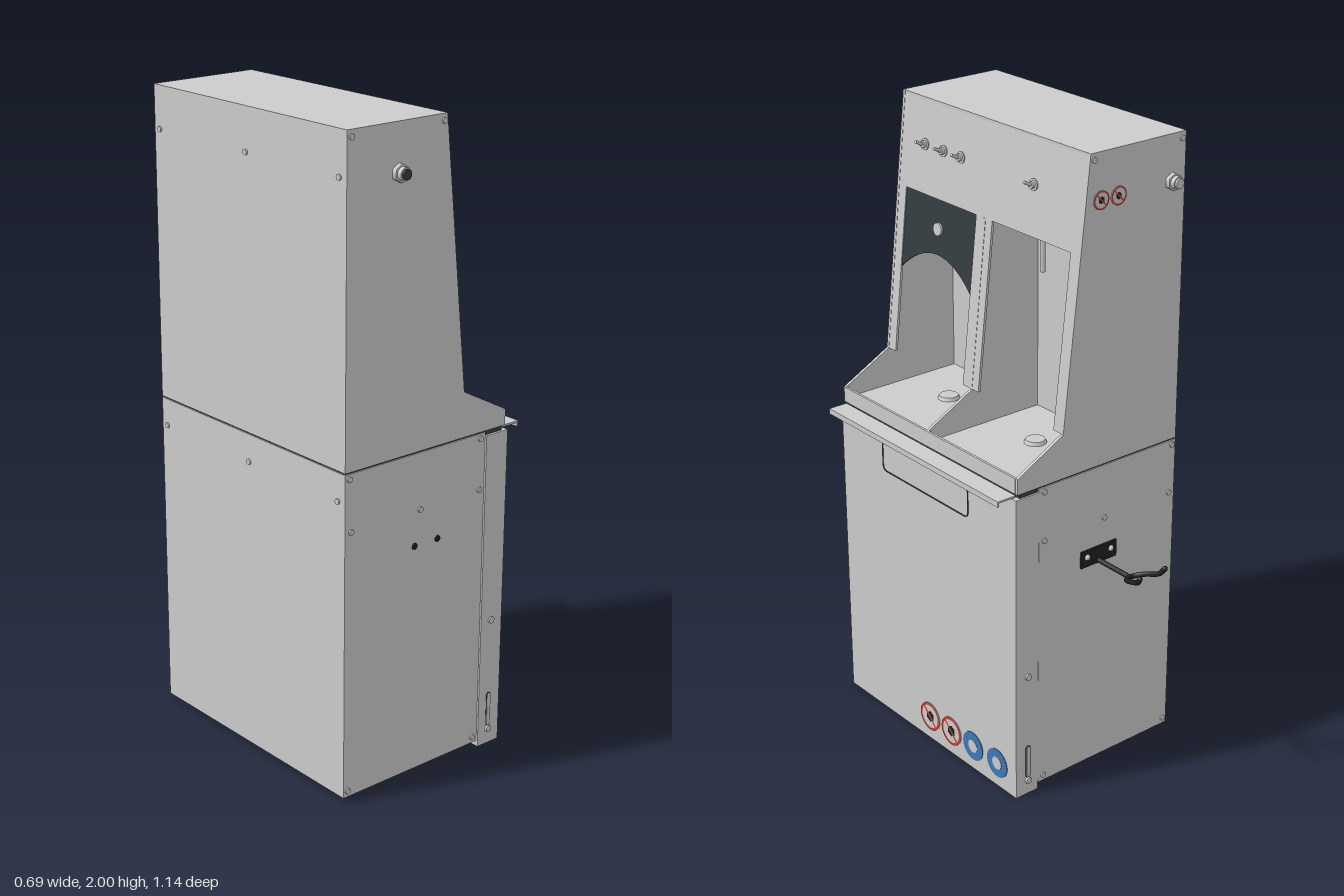
import * as THREE from 'three';

const paint = (color, side = THREE.FrontSide) => new THREE.MeshStandardMaterial({ color, side });
const grey = paint(0xcccccc), dark = paint(0x343c3f), black = paint(0x1c2022);
const red = paint(0xc8402f), blue = paint(0x3f78b5), white = paint(0xe4e4e4);

const Z0 = -0.325, Z1 = 0.535, ZM = 0.105;   // cabinet right side, left side, divider
const TILT = Math.atan2(0.09, 0.82);         // lean of the upper front

export function createModel() {
  const root = new THREE.Group();

  const add = (name, geo, mat, pos = [0, 0, 0], parent = root) => {
    const m = new THREE.Mesh(geo, mat);
    m.name = name;
    m.position.set(...pos);
    parent.add(m);
    return m;
  };
  // Box given by its limits on each axis
  const box = (name, x0, x1, y0, y1, z0, z1, mat = grey) =>
    add(name, new THREE.BoxGeometry(x1 - x0, y1 - y0, z1 - z0), mat,
      [(x0 + x1) / 2, (y0 + y1) / 2, (z0 + z1) / 2]);
  const outline = pts => new THREE.Shape(pts.map(p => new THREE.Vector2(...p)));
  const extrude = (shape, depth) =>
    new THREE.ExtrudeGeometry(shape, { depth, bevelEnabled: false, curveSegments: 20 });
  const group = (name, x, y, z) => {
    const g = new THREE.Group();
    g.name = name;
    g.position.set(x, y, z);
    root.add(g);
    return g;
  };
  // Round part whose axis runs along local z, starting at the given depth
  const round = (name, r, len, mat, pos, parent, sides = 20) =>
    add(name, new THREE.CylinderGeometry(r, r, len, sides).rotateX(Math.PI / 2), mat,
      [pos[0], pos[1], pos[2] + len / 2], parent);
  const slab = (x, y, w, h, r) => {
    const s = new THREE.Shape();
    s.moveTo(x + r, y);
    s.lineTo(x + w - r, y).absarc(x + w - r, y + r, r, -Math.PI / 2, 0);
    s.lineTo(x + w, y + h - r).absarc(x + w - r, y + h - r, r, 0, Math.PI / 2);
    s.lineTo(x + r, y + h).absarc(x + r, y + h - r, r, Math.PI / 2, Math.PI);
    s.lineTo(x, y + r).absarc(x + r, y + r, r, Math.PI, Math.PI * 1.5);
    return s;
  };

  // Lower cabinet and wrap-around door
  box('lowerCabinet', -0.34, 0.2, 0.02, 1.035, Z0, Z1);
  box('door', 0.202, 0.288, 0, 1.025, Z0 - 0.002, Z1 + 0.004);
  box('seam', -0.336, 0.27, 1.025, 1.045, Z0 + 0.004, Z1 - 0.004, dark);

  // Upper cabinet shell
  const profile = outline([[-0.34, 1.04], [0.28, 1.04], [0.28, 1.09], [0.11, 1.18], [0.02, 2], [-0.34, 2]]);
  for (const z of [Z0, Z1 - 0.01]) add('sidePanel', extrude(profile, 0.01), grey, [0, 0, z]);
  box('backPanel', -0.34, -0.33, 1.04, 2, Z0 + 0.01, Z1 - 0.01);
  box('topPanel', -0.34, 0.02, 1.99, 2, Z0 + 0.01, Z1 - 0.01);

  // Washing booths
  box('boothBack', -0.16, -0.15, 1.04, 1.72, Z0 + 0.01, Z1 - 0.01);
  box('boothCeiling', -0.16, 0.045, 1.71, 1.72, Z0 + 0.01, Z1 - 0.01);
  box('trayFloor', -0.16, 0.275, 1.04, 1.055, Z0 + 0.01, Z1 - 0.01);
  box('trayRim', 0.273, 0.281, 1.04, 1.09, Z0 + 0.01, Z1 - 0.01);
  const wall = outline([[-0.15, 1.05], [0.276, 1.05], [0.276, 1.09], [0.11, 1.178], [0.052, 1.71], [-0.15, 1.71]]);
  add('boothDivider', extrude(wall, 0.01), grey, [0, 0, ZM - 0.005]);
  for (const z of [0.32, -0.105])
    add('drain', new THREE.CylinderGeometry(0.03, 0.035, 0.012, 24), grey, [0.03, 1.06, z]);

  // Drip lip above the door
  box('dripLip', 0.28, 0.345, 1.03, 1.036, -0.315, 0.525);
  box('dripLipEdge', 0.34, 0.345, 1.018, 1.031, -0.315, 0.525);

  // Leaning front: local x runs to -z, local y runs up the slope
  const front = group('leaningFront', 0.11, 1.18, 0);
  front.rotation.set(0, Math.PI / 2, TILT, 'ZYX');
  const up = y => (y - 1.18) / Math.cos(TILT);
  const face = outline([
    [-0.525, 0], [-0.49, 0], [-0.49, up(1.71)], [-0.145, up(1.71)], [-0.145, 0], [-0.07, 0],
    [-0.07, up(1.71)], [0.28, up(1.71)], [0.28, 0], [0.315, 0], [0.315, up(1.995)], [-0.525, up(1.995)],
  ]);
  add('frontFrame', extrude(face, 0.008), grey, [0, 0, -0.009], front);

  const curtain = new THREE.Shape();
  curtain.moveTo(-0.145, up(1.71));
  curtain.lineTo(-0.49, up(1.71));
  curtain.lineTo(-0.49, up(1.46));
  curtain.quadraticCurveTo(-0.3175, up(1.62), -0.145, up(1.46));
  add('splashCurtain', extrude(curtain, 0.004), dark, [0, 0, -0.008], front);
  round('curtainKnob', 0.02, 0.008, white, [-0.32, up(1.62), -0.005], front);

  // Toggle switches
  for (const z of [0.41, 0.32, 0.235, -0.1]) {
    const y = up(1.86);
    round('switchPlate', 0.018, 0.004, grey, [-z, y, -0.001], front);
    round('switchNut', 0.012, 0.01, grey, [-z, y, 0.002], front, 6);
    const lever = round('switchLever', 0.005, 0.03, grey, [-z, y + 0.005, 0.008], front, 10);
    lever.rotation.x = -0.35;
  }

  // Hose, nozzle and perforated plate inside the booths
  const hose = new THREE.CatmullRomCurve3([[0.02, 1.6, 0.17], [0.03, 1.46, 0.162], [0.05, 1.25, 0.152],
    [0.07, 1.06, 0.145]].map(p => new THREE.Vector3(...p)));
  add('hose', new THREE.TubeGeometry(hose, 16, 0.006, 8), grey);
  add('nozzle', new THREE.CylinderGeometry(0.008, 0.008, 0.12, 12), grey, [0, 1.65, -0.1]);
  box('perforatedPlate', -0.15, -0.146, 1.19, 1.34, 0.285, 0.37);
  for (let r = 0; r < 8; r++) for (let c = 0; c < 5; c++)
    box('perforation', -0.147, -0.145, 1.194 + r * 0.0185, 1.207 + r * 0.0185,
      0.289 + c * 0.0165, 0.3 + c * 0.0165, black);

  // Details on the two sides; local z points outward
  const sides = [[1, group('leftSideDetails', 0, 0, Z1)], [-1, group('rightSideDetails', 0, 0, Z0)]];
  const bolts = [[-0.325, 1.98], [0.008, 1.98], [-0.325, 1.02], [0.18, 1.02], [-0.325, 0.04],
    [0.18, 0.04], [-0.318, 0.86], [-0.055, 0.86], [0.18, 0.86]];
  for (const [s, g] of sides) {
    if (s < 0) g.rotation.y = Math.PI;
    for (const [x, y] of bolts) round('bolt', 0.009, 0.005, grey, [s * x, y, 0], g, 12);
    round('doorBolt', 0.011, 0.006, grey, [s * 0.243, 0.42, 0.003], g, 12);
    round('doorPin', 0.011, 0.008, grey, [s * 0.243, 0.05, 0.003], g, 12);
    add('doorSlot', extrude(slab(s * 0.243 - 0.009, 0.06, 0.018, 0.115, 0.0085), 0.002), dark, [0, 0, 0.003], g);
    add('doorSlotFill', extrude(slab(s * 0.243 - 0.006, 0.063, 0.012, 0.109, 0.0055), 0.003), grey, [0, 0, 0.003], g);
    // Hose connector
    const cx = s > 0 ? -0.155 : 0.29;
    round('connectorNut', 0.027, 0.014, grey, [cx, 1.86, 0], g, 6);
    round('connectorBody', 0.019, 0.028, grey, [cx, 1.86, 0], g);
    round('connectorBore', 0.015, 0.035, s > 0 ? dark : grey, [cx, 1.86, 0], g);
  }
  for (const x of [-0.075, 0.015]) round('mountHole', 0.01, 0.003, black, [x, 0.75, 0], sides[0][1]);

  // Round safety signs, plain
  const sign = (parent, x, y, z, r, prohibit) => {
    round('signDisc', r, 0.002, prohibit ? white : blue, [x, y, z], parent, 32);
    if (!prohibit) {
      round('signCentre', r * 0.45, 0.003, white, [x, y, z], parent, 24);
      return;
    }
    add('signRing', new THREE.RingGeometry(r * 0.82, r, 32), red, [x, y, z + 0.003], parent);
    round('signSymbol', r * 0.4, 0.0025, black, [x, y, z], parent, 6);
    const bar = add('signBar', new THREE.PlaneGeometry(r * 1.75, r * 0.16), red, [x, y, z + 0.0035], parent);
    bar.rotation.z = -Math.PI / 4;
  };
  for (const x of [0.02, 0.085]) sign(sides[1][1], x, 1.86, 0, 0.028, true);
  const doorFace = group('doorFace', 0.288, 0, 0);
  doorFace.rotation.y = Math.PI / 2;
  [0.105, -0.005, -0.115, -0.235].forEach((z, i) => sign(doorFace, -z, 0.083, 0, 0.049, i < 2));

  // Blank rounded label frame on the door
  const label = slab(-0.325, 0.88, 0.43, 0.105, 0.02);
  label.holes.push(slab(-0.321, 0.884, 0.422, 0.097, 0.017));
  add('labelFrame', extrude(label, 0.002), dark, [0, 0, 0], doorFace);

  // Bolts on the back
  for (const y of [1.87, 0.95]) for (const z of [-0.3, ZM, 0.505]) {
    const b = add('backBolt', new THREE.CylinderGeometry(0.009, 0.009, 0.006, 12), grey, [-0.342, y, z]);
    b.rotation.z = Math.PI / 2;
  }

  // Forked spray gun hook on the right side
  const hook = group('gunHook', -0.032, 0, 0);
  add('hookPlate', new THREE.BoxGeometry(0.14, 0.055, 0.006), black, [0, 0.745, Z0 - 0.003], hook);
  for (const x of [-0.047, 0.047])
    add('hookScrew', new THREE.SphereGeometry(0.01, 12, 8), grey, [x, 0.75, Z0 - 0.005], hook);
  add('hookStem', new THREE.CylinderGeometry(0.008, 0.008, 0.145, 12).rotateX(Math.PI / 2), black,
    [0, 0.725, -0.397], hook);
  const fork = [[-0.05, 0.777, -0.565], [-0.043, 0.757, -0.55], [-0.034, 0.737, -0.5], [-0.018, 0.727, -0.475],
    [0, 0.725, -0.468]];
  const mirrored = fork.slice(0, -1).reverse().map(([x, y, z]) => [-x, y, z]);
  const path = new THREE.CatmullRomCurve3([...fork, ...mirrored].map(p => new THREE.Vector3(...p)));
  add('hookFork', new THREE.TubeGeometry(path, 48, 0.008, 10), black, [0, 0, 0], hook);
  for (const s of [-1, 1])
    add('hookTip', new THREE.SphereGeometry(0.0085, 12, 8), black, [s * 0.05, 0.777, -0.565], hook);

  return root;
}
